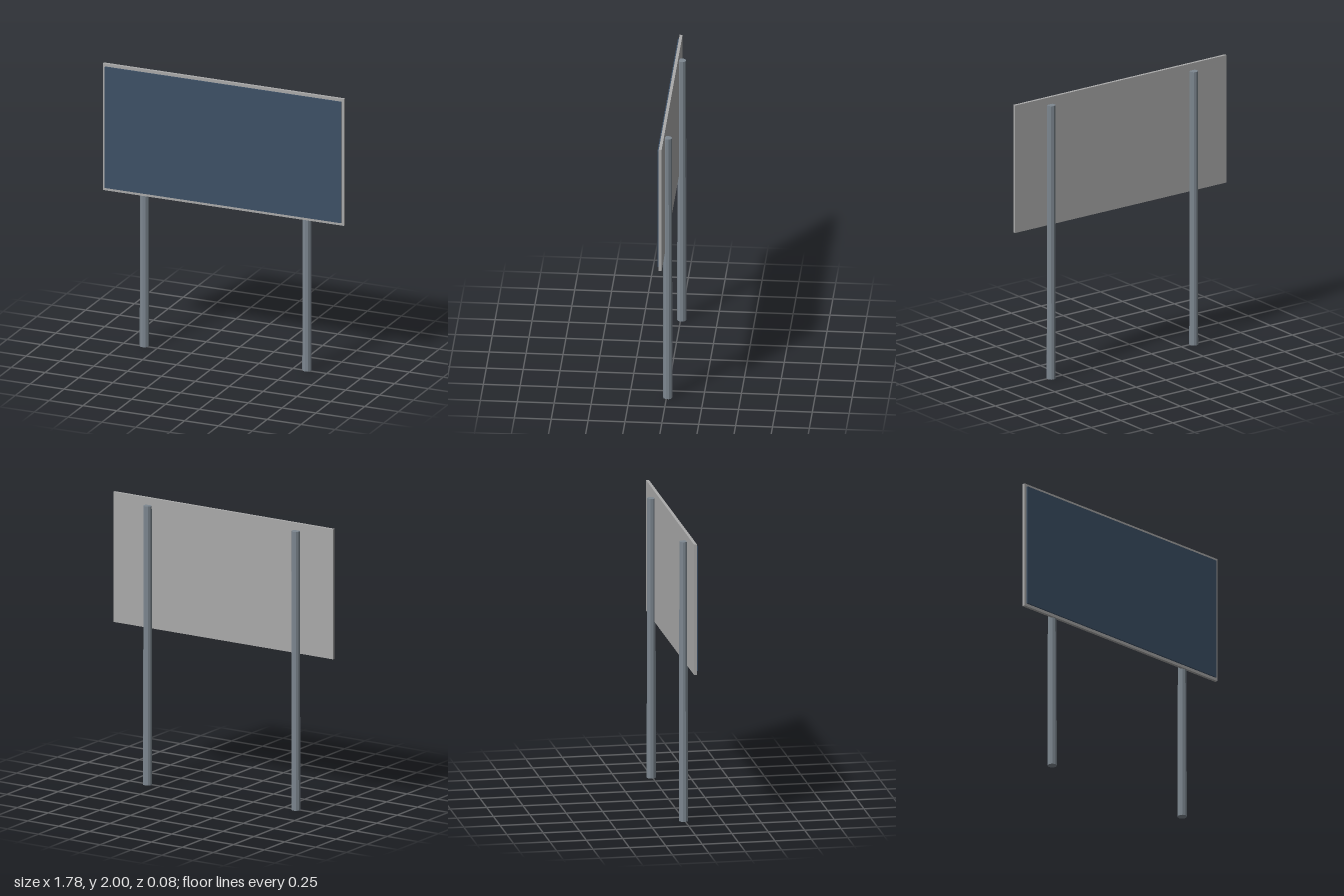
import * as THREE from 'three';

export function createModel() {
  const model = new THREE.Group();
  model.name = 'billboard';

  const add = (name, geometry, color, x, y, z) => {
    const material = new THREE.MeshStandardMaterial({ color, flatShading: true });
    const mesh = new THREE.Mesh(geometry, material);
    mesh.name = name;
    mesh.position.set(x, y, z);
    model.add(mesh);
  };

  // Two slightly tapered posts behind the board
  const postHeight = 1.95;
  const postGeometry = new THREE.CylinderGeometry(0.029, 0.032, postHeight, 10);
  for (const side of [-1, 1]) {
    add(side > 0 ? 'leftPost' : 'rightPost', postGeometry, 0x7d8790, side * 0.6, postHeight / 2, -0.008);
  }

  // Backing board, its margin showing as a border around the panel
  add('backingBoard', new THREE.BoxGeometry(1.78, 0.91, 0.02), 0xaaaaaa, 0, 1.545, 0.02);

  // Raised display panel
  add('displayPanel', new THREE.BoxGeometry(1.745, 0.87, 0.02), 0x3d5066, 0, 1.545, 0.03);

  return model;
}
